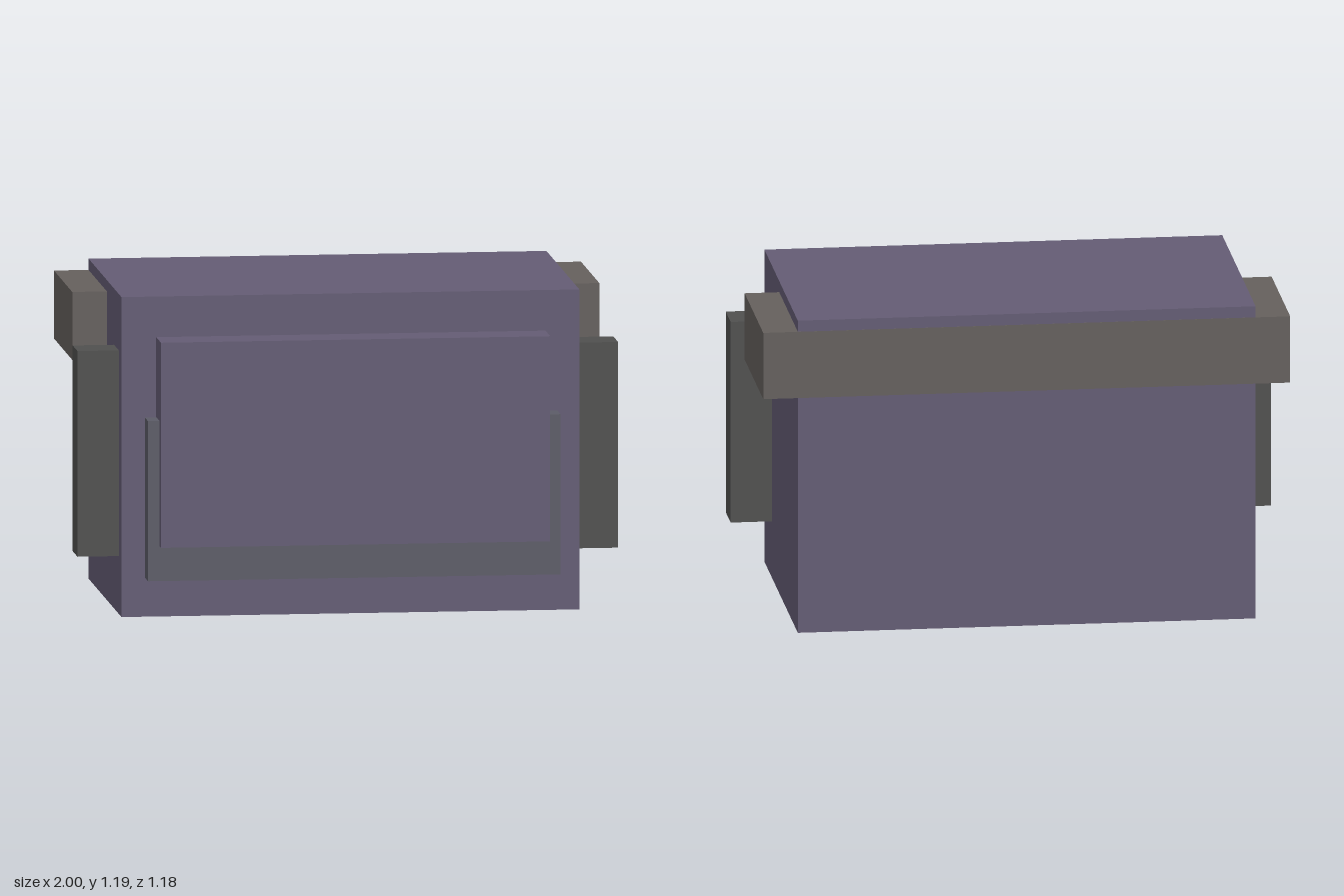
import * as THREE from 'three';

const mat = (color) => new THREE.MeshStandardMaterial({ color, flatShading: true });

export function createModel() {
  const group = new THREE.Group();
  const purple = mat(0x645c74);
  const brown = mat(0x65605d);
  const charcoal = mat(0x50504f);
  const slate = mat(0x5c5c67);

  // Box centred on x, given its half width and its y and z ranges
  const addBox = (name, material, halfWidth, [y0, y1], [z0, z1]) => {
    const mesh = new THREE.Mesh(new THREE.BoxGeometry(halfWidth * 2, y1 - y0, z1 - z0), material);
    mesh.position.set(0, (y0 + y1) / 2, (z0 + z1) / 2);
    mesh.name = name;
    group.add(mesh);
  };

  // Main block
  addBox('body', purple, 0.847, [0, 1.187], [-0.587, 0.428]);
  // Bars running through the block and showing at both sides; the rear one sits a hair proud of the back
  addBox('rearCrossbar', brown, 0.975, [0.893, 1.145], [-0.588, -0.022]);
  addBox('sideUprights', charcoal, 1.0, [0.215, 0.978], [0.198, 0.347]);
  // Floating front panel with the lower slab it is set into
  addBox('frontPanel', purple, 0.72, [0.277, 1.038], [0.44, 0.588]);
  addBox('frontLowerSlab', slate, 0.763, [0.148, 0.742], [0.449, 0.546]);

  return group;
}
